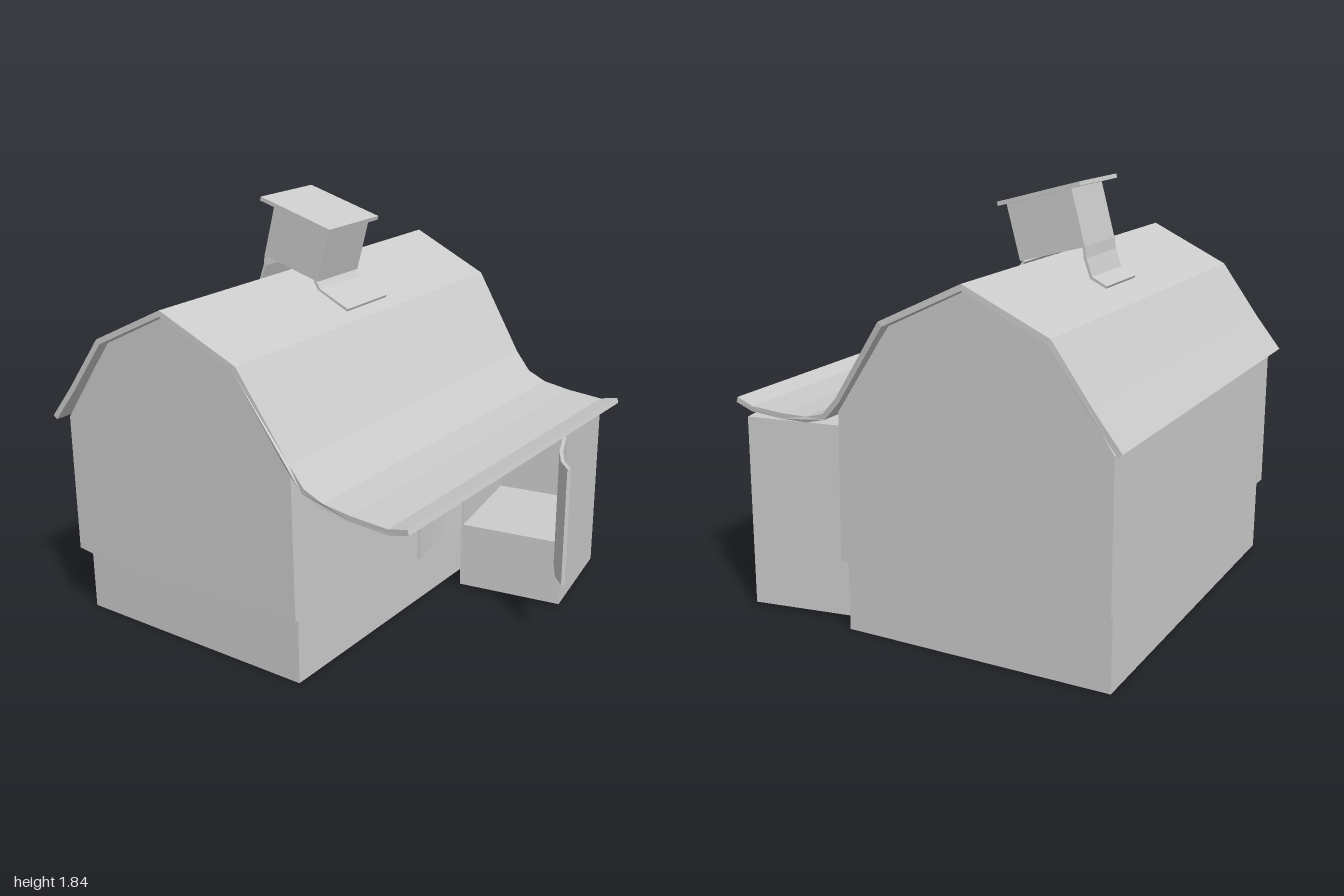
import * as THREE from 'three';

const material = new THREE.MeshStandardMaterial({ color: 0xcccccc, flatShading: true, side: THREE.DoubleSide });

function add(parent, name, geometry) {
  geometry.computeVertexNormals();
  const mesh = new THREE.Mesh(geometry, material);
  mesh.name = name;
  parent.add(mesh);
  return mesh;
}

// Prism from an outline in x, y, running from z0 to z1
function prism(points, z0, z1, hole) {
  const shape = new THREE.Shape(points.map(p => new THREE.Vector2(...p)));
  if (hole) shape.holes.push(new THREE.Path(hole.map(p => new THREE.Vector2(...p))));
  return new THREE.ExtrudeGeometry(shape, { depth: z1 - z0, bevelEnabled: false }).translate(0, 0, z0);
}

// Prism standing upright from an outline in x, z
function upright(plan, y0, y1) {
  return prism(plan.map(([x, z]) => [x, -z]), y0, y1).rotateX(-Math.PI / 2);
}

// Closed outline of a strip of the given thickness, on the right hand of a path
function strip(path, t) {
  const dir = (a, b) => new THREE.Vector2(b[0] - a[0], b[1] - a[1]).normalize();
  const inner = path.map((p, i) => {
    const d0 = i > 0 ? dir(path[i - 1], p) : dir(p, path[1]);
    const d1 = i < path.length - 1 ? dir(p, path[i + 1]) : d0;
    const n = d0.clone().add(d1).normalize();
    const k = t / n.dot(d1);
    return [p[0] + n.y * k, p[1] - n.x * k];
  });
  return [...path, ...inner.reverse()];
}

// Strip in plan, standing upright
function uprightStrip(plan, t, y0, y1) {
  return prism(strip(plan.map(([x, z]) => [x, -z]), t), y0, y1).rotateX(-Math.PI / 2);
}

// Piecewise linear lookup
function lookup(table, x) {
  let i = 1;
  while (i < table.length - 1 && x > table[i][0]) i++;
  const [a, b] = [table[i - 1], table[i]];
  const u = THREE.MathUtils.clamp((x - a[0]) / (b[0] - a[0]), 0, 1);
  return a[1] + (b[1] - a[1]) * u;
}

function mapZ(geometry, rule) {
  const p = geometry.attributes.position;
  for (let i = 0; i < p.count; i++) p.setZ(i, rule(p.getX(i), p.getZ(i)));
  return geometry;
}

export function createModel() {
  const barn = new THREE.Group();
  barn.name = 'barn';

  // Main body and the overlapping gable boards
  const gable = [[0.24, 0.95], [-0.005, 1.325], [-0.36, 1.5], [-0.705, 1.325], [-0.963, 0.95]];
  add(barn, 'body', prism([[-0.958, 0], [0.23, 0], ...gable.map(([x, y]) => [Math.min(x, 0.23), y])], -0.88, 0.835));
  const boards = [[-0.963, 0.32], [-0.7, 0.285], [-0.45, 0.29], [0.05, 0.31], [0.25, 0.31], ...gable];
  const skew = (x, z) => z - (x + 0.36) * 0.02;
  add(barn, 'frontGable', mapZ(prism(boards, 0.82, 0.89), skew));
  add(barn, 'backGable', prism(boards, -0.905, -0.86));

  // Gambrel roof sweeping out over the annex, with crooked ends
  const roofPath = [[-1, 0.965], [-0.88, 1.118], [-0.71, 1.355], [-0.36, 1.53], [0, 1.355], [0.25, 1.005],
    [0.33, 0.925], [0.43, 0.895], [0.57, 0.885], [0.75, 0.885], [0.84, 0.91]];
  const frontEdge = [[-1, 0.96], [-0.71, 0.952], [-0.36, 0.935], [0, 0.905], [0.25, 0.9], [0.43, 0.925], [0.84, 0.963]];
  const backEdge = [[-1, -0.92], [-0.71, -0.92], [-0.36, -0.953], [0, -0.967], [0.43, -0.868], [0.84, -0.803]];
  add(barn, 'roof', mapZ(prism(strip(roofPath, 0.024), 0, 1),
    (x, z) => THREE.MathUtils.lerp(lookup(backEdge, x), lookup(frontEdge, x), z)));

  // Turned annex: solid base, walls open to the front, ceiling
  const annex = new THREE.Group();
  annex.name = 'annex';
  barn.add(annex);
  const plan = [[0.33, -0.28], [0.24, -0.8], [0.72, -0.885], [0.81, -0.365]];
  add(annex, 'annexBase', upright(plan, 0.02, 0.33));
  add(annex, 'annexWalls', uprightStrip(plan, 0.01, 0.33, 0.858));
  add(annex, 'annexCeiling', upright(plan, 0.845, 0.86));

  // Warped open doors
  add(annex, 'rightDoor', uprightStrip([[0.99, -0.04], [0.93, -0.1], [0.87, -0.205], [0.84, -0.28], [0.805, -0.365]],
    -0.016, 0.31, 0.845));
  add(annex, 'leftDoor', uprightStrip([[0.33, -0.28], [0.32, -0.15], [0.328, -0.03], [0.35, 0.105]], 0.015, 0.31, 0.845));

  // Leaning hollow chimney with its cap and flashing
  const tilt = -0.267;
  const square = (w, d) => [[-w, -d], [w, -d], [w, d], [-w, d]];
  const chimney = add(barn, 'chimney', prism(square(0.154, 0.15), -0.125, 0.125, square(0.142, 0.138)).rotateX(-Math.PI / 2));
  chimney.position.set(-0.328, 1.655, -0.057);
  chimney.rotation.z = tilt;
  const cap = add(barn, 'chimneyCap', new THREE.BoxGeometry(0.39, 0.018, 0.367));
  cap.position.set(-0.312, 1.784, -0.06);
  cap.rotation.z = tilt;
  add(barn, 'leftFlashing', prism(strip([[-0.612, 1.422], [-0.545, 1.455], [-0.517, 1.53], [-0.511, 1.578]], 0.012), -0.207, 0.092));
  add(barn, 'rightFlashing', prism(strip([[-0.226, 1.5], [-0.2, 1.462], [-0.05, 1.395]], 0.012), -0.207, 0.092));

  return barn;
}
